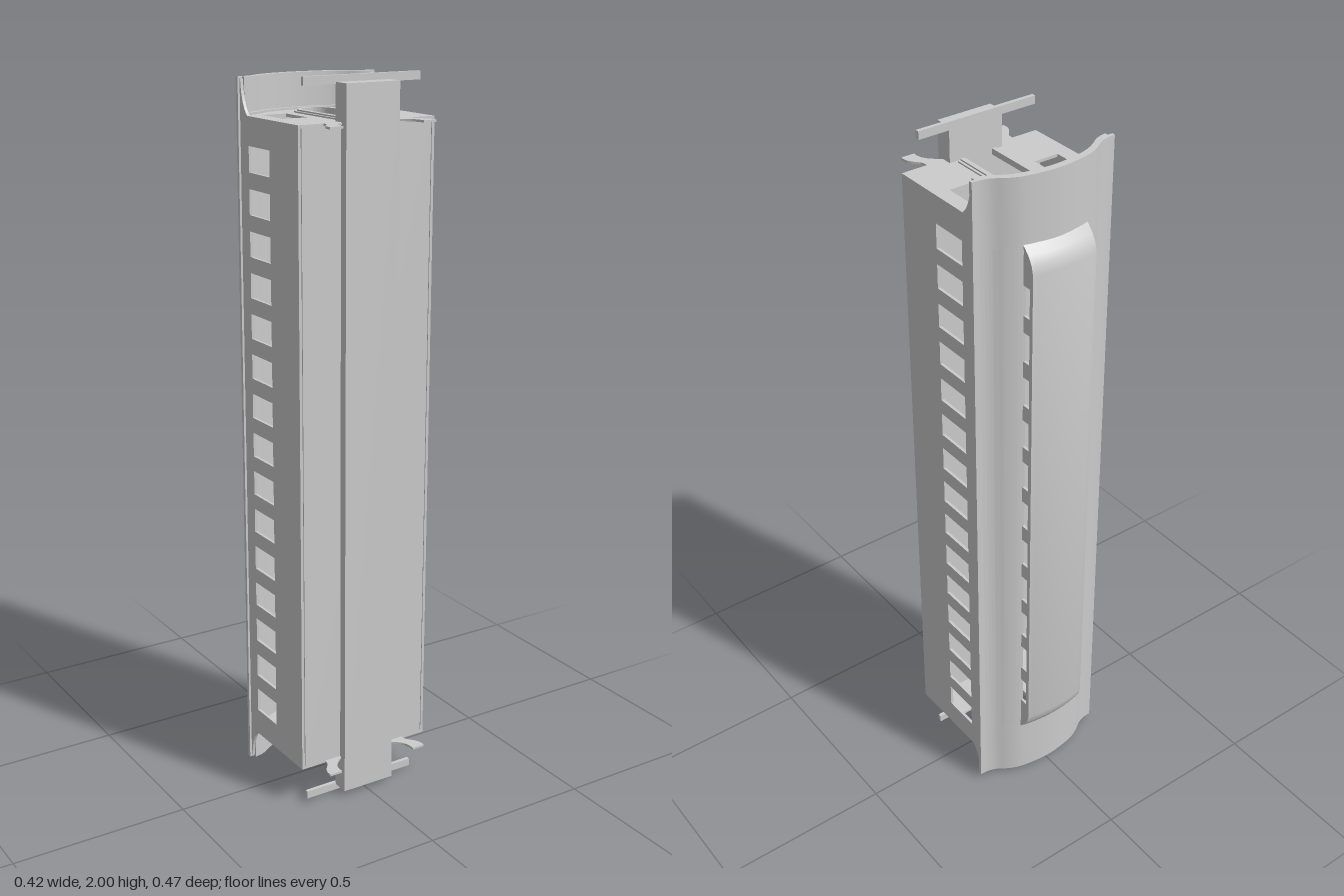
import * as THREE from 'three';
import { toCreasedNormals } from 'three/addons/utils/BufferGeometryUtils.js';

// The carriage stands on end: length along y, roof towards -z, underside towards +z.
// Sections are drawn as (x, u), where u is the carriage's own height (u = -z).
const material = new THREE.MeshStandardMaterial({ color: 0xcccccc, side: THREE.DoubleSide });
const BODY = [0.113, 1.887], ROOF = [0.017, 1.983];
const CLERE_W = 0.097, CLERE_IN = 0.09, CLERE = [0.18, 1.82];

function add(parent, name, geometry) {
  const mesh = new THREE.Mesh(toCreasedNormals(geometry, 0.5), material);
  mesh.name = name;
  parent.add(mesh);
  return mesh;
}

const polygon = pts => new THREE.Shape(pts.map(p => new THREE.Vector2(...p)));

function rectPath(x0, x1, y0, y1) {
  return new THREE.Path([[x0, y0], [x1, y0], [x1, y1], [x0, y1]].map(p => new THREE.Vector2(...p)));
}

// Cross-section (x, u) extruded along the length from y0 to y1
function along(shape, y0, y1) {
  const g = new THREE.ExtrudeGeometry(shape, { depth: y1 - y0, bevelEnabled: false, curveSegments: 16 });
  return g.rotateX(-Math.PI / 2).translate(0, y0, 0);
}

// Side elevation (y, u) extruded across the width, centred on x
function across(shape, x, width, steps = 1) {
  const g = new THREE.ExtrudeGeometry(shape, { depth: width, steps, bevelEnabled: false, curveSegments: 10 });
  g.translate(0, 0, -width / 2);
  g.applyMatrix4(new THREE.Matrix4().makeBasis(
    new THREE.Vector3(0, 1, 0), new THREE.Vector3(0, 0, -1), new THREE.Vector3(-1, 0, 0)));
  return g.translate(x, 0, 0);
}

function box(x0, x1, y0, y1, z0, z1) {
  return new THREE.BoxGeometry(x1 - x0, y1 - y0, z1 - z0)
    .translate((x0 + x1) / 2, (y0 + y1) / 2, (z0 + z1) / 2);
}

// Height of the roof's outer surface at x
const half = [[0, 0.198], [0.05, 0.194], [0.1, 0.184], [0.135, 0.168], [0.16, 0.151], [0.185, 0.142], [0.211, 0.14]];
const roofCurve = new THREE.SplineCurve(
  [...half.slice(1).reverse().map(([x, u]) => [-x, u]), ...half].map(p => new THREE.Vector2(...p)));
const roofPts = roofCurve.getPoints(96);
function roofU(x) {
  const i = Math.max(1, roofPts.findIndex(p => p.x >= x - 1e-6));
  const a = roofPts[i - 1], b = roofPts[i];
  return a.y + (b.y - a.y) * (x - a.x) / (b.x - a.x);
}
function roofLine(x0, x1, drop, n = 40) {
  return Array.from({ length: n + 1 }, (_, i) => {
    const x = x0 + (x1 - x0) * i / n;
    return [x, roofU(x) - drop];
  });
}
const roofBand = (x0, x1, top, bottom) =>
  polygon([...roofLine(x0, x1, bottom), ...roofLine(x0, x1, top).reverse()]);

// Round-headed doorway outline
function arch(Type, r, bottom) {
  const p = new Type();
  p.moveTo(-r, bottom);
  p.lineTo(r, bottom);
  p.lineTo(r, 0.08);
  p.absarc(0, 0.08, r, 0, Math.PI, false);
  p.lineTo(-r, bottom);
  return p;
}

function roof(parent) {
  const [y0, y1] = ROOF, [c0, c1] = [CLERE[0] + 0.02, CLERE[1] - 0.02];
  for (const [name, w, top, bottom] of [['roofSkin', 0.211, 0, 0.01], ['roofLining', 0.197, 0.01, 0.02]]) {
    add(parent, name, along(roofBand(-w, w, top, bottom), y0, c0));
    add(parent, name, along(roofBand(-w, w, top, bottom), c1, y1));
    // Open beneath the raised lantern
    add(parent, name, along(roofBand(-w, -CLERE_IN, top, bottom), c0, c1));
    add(parent, name, along(roofBand(CLERE_IN, w, top, bottom), c0, c1));
  }
}

function lantern(parent) {
  // Lid with sloping ends, bowed across its width
  const rise = [[0, 0.186], [0.015, 0.197], [0.035, 0.216], [0.055, 0.228], [0.08, 0.234]];
  const outline = drop => [
    ...rise.map(([d, u]) => [CLERE[0] + d, u - drop]),
    ...[...rise].reverse().map(([d, u]) => [CLERE[1] - d, u - drop])];
  const lid = across(polygon([...outline(0.01), ...outline(0).reverse()]), 0, 2 * CLERE_W, 16);
  const pos = lid.attributes.position;
  for (let i = 0; i < pos.count; i++) {
    pos.setZ(i, pos.getZ(i) + 0.011 * (pos.getX(i) / CLERE_W) ** 2);
  }
  lid.computeVertexNormals();
  add(parent, 'lanternLid', lid);

  // Side strips with small windows
  for (const s of [-1, 1]) {
    const side = polygon([[CLERE[0] + 0.01, 0.176], [CLERE[1] - 0.01, 0.176],
      ...outline(0.017).slice(5, 9), ...outline(0.017).slice(1, 5)].map(([y, u], i) => [y, i < 2 ? 0.172 : u])
      .sort((a, b) => Math.atan2(a[1] - 0.19, a[0] - 1) - Math.atan2(b[1] - 0.19, b[0] - 1)));
    for (let i = -5; i <= 5; i++) {
      const y = 1 + i * 0.131;
      side.holes.push(rectPath(y - 0.042, y + 0.042, 0.184, 0.21));
    }
    add(parent, 'lanternSide', across(side, s * 0.092, 0.008));
  }
}

function sideWalls(parent) {
  for (const s of [-1, 1]) {
    const wall = polygon([[BODY[0], -0.16], [BODY[1], -0.16], [BODY[1], 0.133], [BODY[0], 0.133]]);
    for (let i = -7; i <= 7; i++) {
      const y = 1 + i * 0.111;
      wall.holes.push(rectPath(y - 0.034, y + 0.034, -0.019, 0.088));
    }
    add(parent, 'sideWall', across(wall, s * 0.201, 0.008));
  }
}

// One end of the carriage, built at the top
function carriageEnd(name) {
  const end = new THREE.Group();
  end.name = name;
  const y = BODY[1];

  // End wall with doorway and two windows
  const wall = polygon([[-0.203, -0.16], [0.203, -0.16], ...roofLine(-0.203, 0.203, 0.012).reverse()]);
  wall.holes.push(arch(THREE.Path, 0.042, -0.126));
  for (const s of [-1, 1]) {
    const [a, b] = [s * 0.092, s * 0.163].sort((p, q) => p - q);
    wall.holes.push(rectPath(a, b, -0.018, 0.088));
  }
  add(end, 'endWall', along(wall, y - 0.008, y));

  // Stepped door surround
  for (const [r, depth] of [[0.062, 0.004], [0.055, 0.008]]) {
    const frame = arch(THREE.Shape, r, -0.126);
    frame.holes.push(arch(THREE.Path, 0.042, -0.1259));
    add(end, 'doorFrame', along(frame, y, y + depth));
  }
  add(end, 'cornice', along(roofBand(-0.197, 0.197, 0.02, 0.033), y, y + 0.006));

  for (const s of [-1, 1]) {
    // Curved bracket carrying the roof overhang
    const brace = new THREE.Shape();
    brace.moveTo(y - 0.002, 0.09);
    brace.quadraticCurveTo(y + 0.02, 0.122, ROOF[1] - 0.005, 0.127);
    brace.lineTo(ROOF[1] - 0.005, 0.135);
    brace.lineTo(y - 0.002, 0.135);
    add(end, 'roofBracket', across(brace, s * 0.201, 0.008));

    // Thin S-shaped hanger below the floor
    const leg = new THREE.Shape();
    leg.moveTo(s * 0.08, -0.158);
    leg.lineTo(s * 0.08, -0.165);
    leg.bezierCurveTo(s * 0.1, -0.18, s * 0.119, -0.195, s * 0.12, -0.22);
    leg.lineTo(s * 0.12, -0.233);
    leg.lineTo(s * 0.158, -0.233);
    leg.lineTo(s * 0.158, -0.22);
    leg.bezierCurveTo(s * 0.155, -0.195, s * 0.13, -0.185, s * 0.131, -0.168);
    leg.lineTo(s * 0.131, -0.158);
    add(end, 'hanger', along(leg, y - 0.006, y));
  }
  add(end, 'bufferBar', box(-0.175, 0.175, 1.978, 2, 0.126, 0.137));
  return end;
}

export function createModel() {
  const model = new THREE.Group();
  model.name = 'railwayCarriage';
  roof(model);
  lantern(model);
  sideWalls(model);

  add(model, 'floor', box(-0.195, 0.195, BODY[0], BODY[1], 0.127, 0.16));
  add(model, 'centreBeam', box(-0.08, 0.08, ROOF[0], ROOF[1], 0.135, 0.184));

  const top = carriageEnd('topEnd');
  const bottom = carriageEnd('bottomEnd');
  bottom.rotation.z = Math.PI;
  bottom.position.y = 2;
  model.add(top, bottom);
  return model;
}
